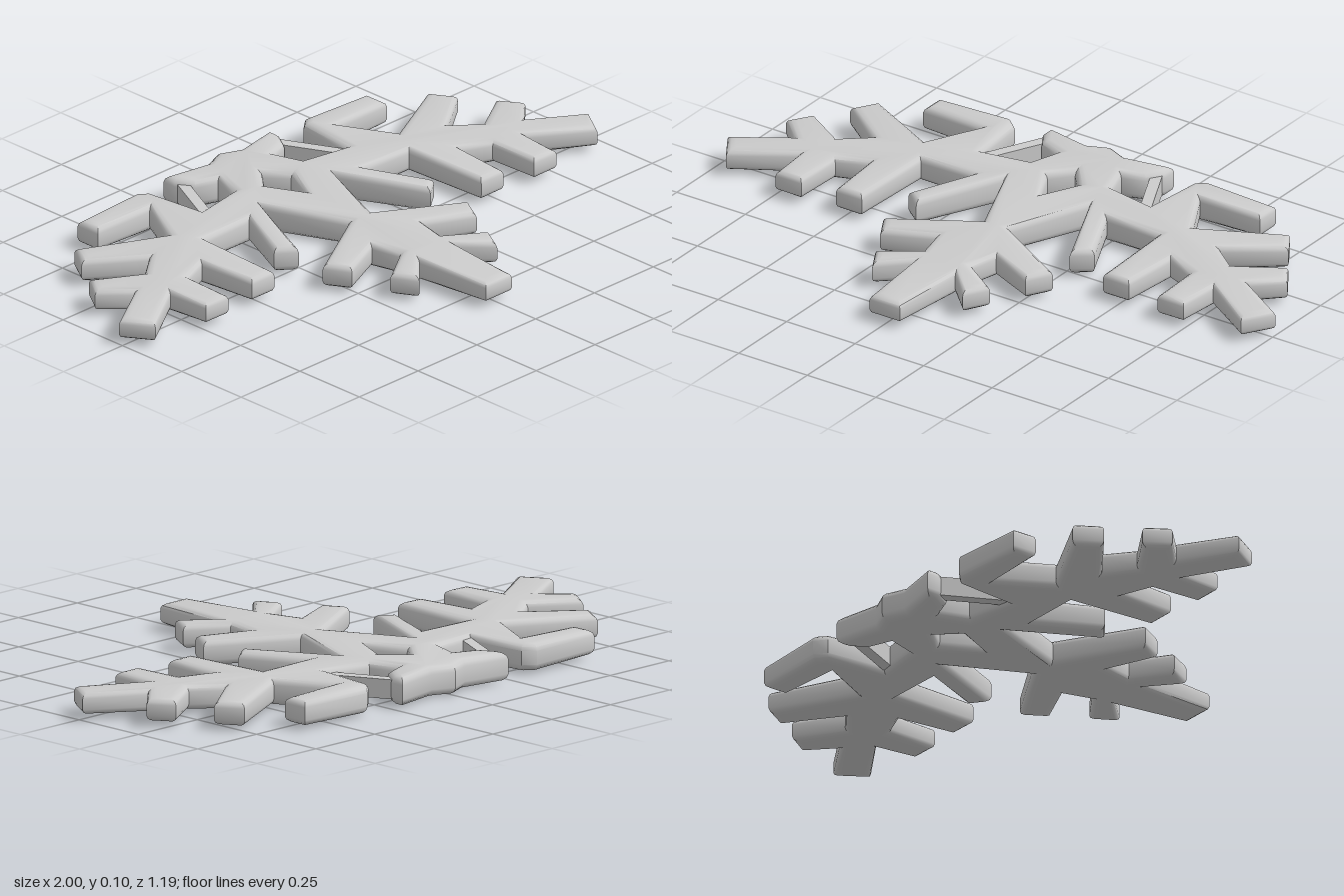
import * as THREE from 'three';
import { toCreasedNormals } from 'three/addons/utils/BufferGeometryUtils.js';

// Outline of the left half as [x, z], from the front arm tip round to the back edge
const HALF = [
  // front arm with two side branches
  [0.055, 0.595], [0.075, 0.335], [0.165, 0.425], [0.21, 0.345], [0.09, 0.265],
  [0.11, 0.17], [0.265, 0.24], [0.31, 0.16], [0.05, 0.01], [0.155, -0.25],
  // inner branch, then the front edge of the side arm
  [0.28, 0.03], [0.34, -0.015], [0.245, -0.215], [0.43, -0.21],
  [0.44, 0.085], [0.535, 0.085], [0.55, -0.11], [0.645, -0.07],
  [0.65, 0.1], [0.745, 0.1], [0.755, -0.04],
  // side arm tip and its back edge
  [0.94, 0.08], [1, -0.015], [0.83, -0.12], [0.915, -0.2], [0.865, -0.275],
  [0.72, -0.185], [0.635, -0.25], [0.8, -0.37], [0.75, -0.45], [0.49, -0.315],
  // rear branch
  [0.4, -0.48], [0.615, -0.485], [0.615, -0.57], [0.36, -0.58], [0.325, -0.55],
  // hub notch and back edge
  [0.305, -0.355], [0.15, -0.38], [0.12, -0.47], [0.19, -0.495],
  [0.225, -0.55], [0.225, -0.595], [0.07, -0.565],
];
const HOLE = [[0, -0.4], [0.055, -0.335], [0, -0.22], [-0.055, -0.335]];

const toPoints = (list) => list.map(([x, z]) => new THREE.Vector2(x, -z));
const mirror = (list) => list.map(([x, z]) => [-x, z]).reverse();

// Rounded slab, thickest at the hub and thinner towards the tips
function flakeGeometry() {
  const shape = new THREE.Shape(toPoints([...HALF, [0, -0.595], ...mirror(HALF)]));
  shape.holes.push(new THREE.Path(toPoints(HOLE)));
  const geo = new THREE.ExtrudeGeometry(shape, {
    depth: 0.05, bevelEnabled: true, bevelThickness: 0.025,
    bevelSize: 0.028, bevelOffset: -0.028, bevelSegments: 3,
  });
  geo.translate(0, 0, -0.025).rotateX(-Math.PI / 2);
  const p = geo.attributes.position;
  for (let i = 0; i < p.count; i++) {
    const d = Math.hypot(p.getX(i), p.getZ(i) + 0.4);
    p.setY(i, 0.05 + p.getY(i) * (1 - 0.32 * Math.min(1, d)));
  }
  return toCreasedNormals(geo, 0.75);
}

export function createModel() {
  const group = new THREE.Group();
  group.name = 'halfSnowflake';
  const material = new THREE.MeshStandardMaterial({ color: 0xcccccc });

  const flake = new THREE.Mesh(flakeGeometry(), material);
  flake.name = 'snowflakeArms';
  group.add(flake);

  // Thin struts joining the hub to the side arms
  for (const side of [1, -1]) {
    const a = new THREE.Vector3(side * 0.2, 0.05, -0.54);
    const b = new THREE.Vector3(side * 0.295, 0.05, -0.345);
    const strut = new THREE.Mesh(new THREE.BoxGeometry(0.035, 0.06, a.distanceTo(b)), material);
    strut.name = side > 0 ? 'leftStrut' : 'rightStrut';
    strut.position.copy(a).lerp(b, 0.5);
    strut.lookAt(b);
    group.add(strut);
  }
  return group;
}
